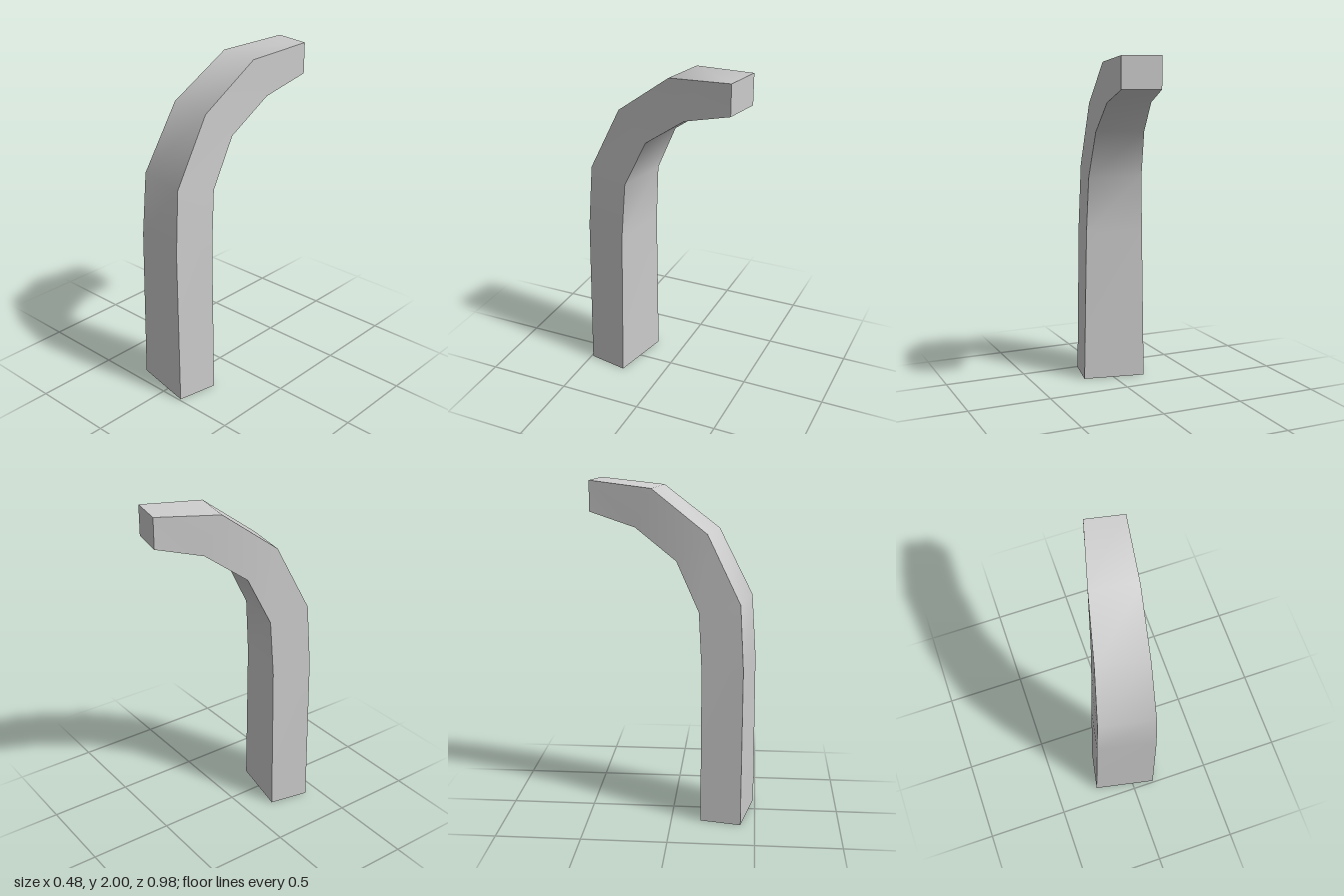
import * as THREE from 'three';

// Each station: [y, x right edge, z right edge, width along x] of the outer and inner faces
const OUTER = [
  [0, 0.135, 0.49, 0.375], [0.95, 0.12, 0.485, 0.345], [1.33, 0.113, 0.459, 0.323],
  [1.72, 0.135, 0.26, 0.292], [1.965, 0.185, -0.07, 0.265], [2.0, 0.24, -0.45, 0.22],
];
const INNER = [
  [0, 0.182, 0.25, 0.375], [0.93, 0.165, 0.243, 0.343], [1.275, 0.157, 0.22, 0.322],
  [1.56, 0.167, 0.08, 0.287], [1.74, 0.202, -0.17, 0.25], [1.82, 0.24, -0.45, 0.22],
];
const SKEW = 0.2; // z change per x across the width

const right = ([y, x, z]) => [x, y, z];
const left = ([y, x, z, w]) => [x - w, y, z - SKEW * w];

// Smooth strip between two edge paths
function strip(a, b) {
  const pos = [], index = [];
  a.forEach((p, i) => {
    pos.push(...p, ...b[i]);
    if (i) {
      const k = 2 * i - 2;
      index.push(k, k + 1, k + 3, k, k + 3, k + 2);
    }
  });
  const g = new THREE.BufferGeometry();
  g.setAttribute('position', new THREE.Float32BufferAttribute(pos, 3));
  g.setIndex(index);
  g.computeVertexNormals();
  return g;
}

export function createModel() {
  const group = new THREE.Group();
  group.name = 'curvedPost';
  const material = new THREE.MeshStandardMaterial({ color: 0xcccccc, side: THREE.DoubleSide });
  const add = (name, a, b) => {
    const mesh = new THREE.Mesh(strip(a, b), material);
    mesh.name = name;
    group.add(mesh);
  };

  // Four long edges, running from the open foot to the tip
  const edges = [OUTER.map(left), OUTER.map(right), INNER.map(right), INNER.map(left)];
  ['outerFace', 'leftFace', 'innerFace', 'rightFace'].forEach((name, k) =>
    add(name, edges[k], edges[(k + 1) % 4]));

  // Flat cap closing the tip
  const [a, b, c, d] = edges.map((e) => e[e.length - 1]);
  add('tipCap', [a, d], [b, c]);

  return group;
}
